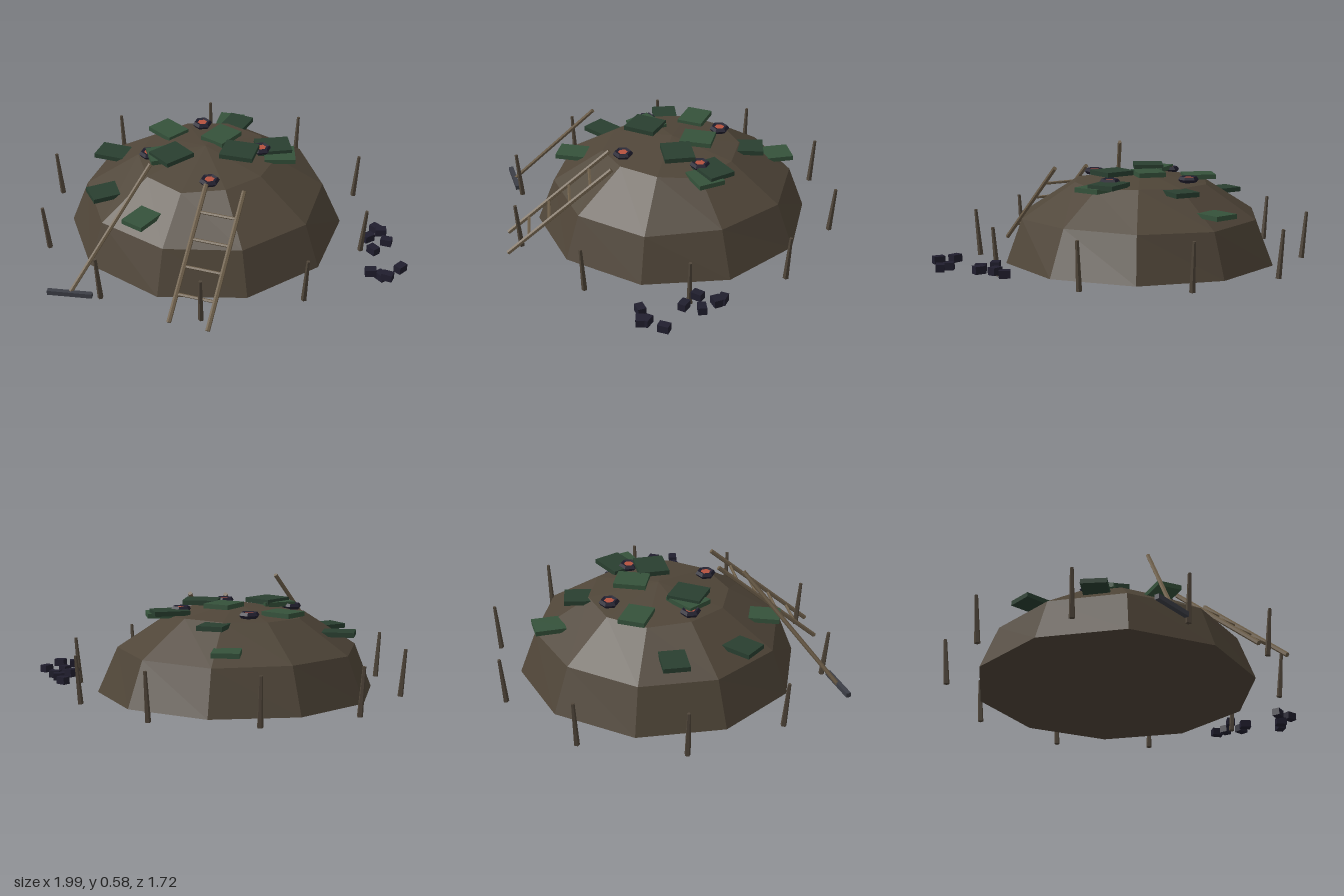
import * as THREE from 'three';

const CX = -0.12, CZ = -0.025, R = 0.715, H = 0.46, BASE = 0.015;

const mat = (color) => new THREE.MeshStandardMaterial({ color, flatShading: true });
const earth = mat(0x4f4538), turfLight = mat(0x35523b), turfDark = mat(0x293f30);
const wood = mat(0x6e5f4a), bark = mat(0x50463a), iron = mat(0x3c3e46);
const coal = mat(0x201e2e), ember = mat(0xb5523f);

function add(parent, name, geometry, material, x = 0, y = 0, z = 0, ry = 0) {
  const mesh = new THREE.Mesh(geometry, material);
  mesh.name = name;
  mesh.position.set(x, y, z);
  mesh.rotation.y = ry;
  parent.add(mesh);
  return mesh;
}

function group(parent, name) {
  const g = new THREE.Group();
  g.name = name;
  parent.add(g);
  return g;
}

// Round pole between two points
function pole(parent, name, a, b, r0, r1, material, sides = 6) {
  const from = new THREE.Vector3(...a), to = new THREE.Vector3(...b);
  const dir = to.clone().sub(from);
  const mesh = add(parent, name, new THREE.CylinderGeometry(r1, r0, dir.length(), sides), material);
  mesh.position.copy(from).add(to).multiplyScalar(0.5);
  mesh.quaternion.setFromUnitVectors(new THREE.Vector3(0, 1, 0), dir.normalize());
  return mesh;
}

// Height of the mound's surface above the ground
function surface(x, z) {
  const d = Math.hypot(x - CX, z - CZ) / R;
  return BASE + H * Math.sqrt(Math.max(0, 1 - d * d));
}

export function createModel() {
  const model = new THREE.Group();
  model.name = 'charcoalMound';

  // Low dome of earth, slightly uneven above its base ring
  const dome = new THREE.SphereGeometry(R, 10, 3, 0, Math.PI * 2, 0, Math.PI / 2);
  dome.rotateY(Math.PI / 2);
  dome.scale(1, H / R, 1);
  const p = dome.attributes.position;
  for (let i = 0; i < p.count; i++) {
    const x = p.getX(i), y = p.getY(i), z = p.getZ(i);
    if (y < 0.01 || y > H - 0.01) continue;
    const k = 1 + 0.02 * Math.sin(x * 17 + z * 11 + y * 9);
    p.setXYZ(i, x * k, y * (2 - k), z * k);
  }
  add(model, 'mound', dome, earth, CX, BASE, CZ);
  const floor = new THREE.CircleGeometry(R, 10);
  floor.rotateX(Math.PI / 2);
  floor.rotateY(Math.PI / 2);
  add(model, 'moundFloor', floor, earth, CX, BASE, CZ);

  // Turf slabs: x, z, width, depth, turn, dark, lift
  const turf = group(model, 'turfSlabs');
  [
    [-0.18, -0.59, 0.135, 0.155, 0.1, 0, 0.01],
    [-0.085, -0.43, 0.13, 0.14, -0.12, 1, 0.008],
    [-0.385, -0.175, 0.165, 0.135, -0.48, 0, 0.008],
    [-0.645, -0.035, 0.175, 0.13, 0, 1, 0],
    [-0.545, 0.32, 0.16, 0.13, 0.75, 1, 0],
    [-0.27, 0.49, 0.125, 0.165, -0.3, 0, 0],
    [-0.3, 0.095, 0.17, 0.14, 0.6, 0, 0.002],
    [-0.26, 0.105, 0.155, 0.17, -0.55, 1, 0.012],
    [-0.08, -0.155, 0.14, 0.165, -0.33, 0, 0.005],
    [0.06, -0.035, 0.175, 0.155, 0.06, 1, 0.012],
    [0.19, -0.2, 0.18, 0.14, 0.47, 1, 0.02],
    [0.24, -0.155, 0.16, 0.14, 0.35, 0, 0.012],
  ].forEach(([x, z, w, d, ry, dark, lift]) =>
    add(turf, 'turfSlab', new THREE.BoxGeometry(w, 0.024, d), dark ? turfDark : turfLight,
      x, surface(x, z) + lift, z, ry));

  // Smoke vents: six-sided rims with glowing centres
  const vents = group(model, 'smokeVents');
  const rim = new THREE.TorusGeometry(0.037, 0.016, 5, 6);
  rim.rotateX(Math.PI / 2);
  rim.rotateY(Math.PI / 6);
  for (const [x, z] of [[-0.235, -0.29], [0.145, -0.14], [-0.39, 0.09], [-0.005, 0.24]]) {
    const y = surface(x, z) + 0.008;
    add(vents, 'ventRim', rim, coal, x, y, z);
    add(vents, 'ventEmber', new THREE.CylinderGeometry(0.029, 0.029, 0.02, 6), ember, x, y, z);
  }

  // Ring of stakes leaning outward
  const stakes = group(model, 'stakes');
  for (let i = 0; i < 10; i++) {
    const a = (i * Math.PI) / 5, c = Math.cos(a), s = Math.sin(a);
    const at = (r, y) => [CX + c * r, y, CZ + s * r];
    pole(stakes, 'stake', at(0.846, 0.012), at(0.868, 0.255), 0.015, 0.009, bark, 5);
  }

  // Ladder leaning on the front
  const ladder = group(model, 'ladder');
  for (const x of [0.003, 0.2])
    pole(ladder, 'ladderRail', [x, 0.01, 0.85], [x, 0.465, 0.31], 0.012, 0.012, wood);
  for (let i = 0; i < 4; i++) {
    const y = 0.1 + i * 0.09, z = 0.738 - i * 0.107;
    pole(ladder, 'ladderRung', [0.003, y, z], [0.2, y, z], 0.008, 0.008, wood, 5);
  }

  // Rake propped against the mound
  const rake = group(model, 'rake');
  pole(rake, 'rakeHandle', [-0.525, 0.035, 0.82], [-0.26, 0.57, 0.38], 0.011, 0.011, wood);
  add(rake, 'rakeHead', new THREE.BoxGeometry(0.225, 0.024, 0.024), iron, -0.525, 0.034, 0.825, 0.19);

  // Scattered charcoal: x, y, z, turn
  const pile = group(model, 'charcoalPieces');
  [
    [0.77, 0.055, -0.18, -0.5], [0.803, 0.068, -0.145, 0.3], [0.755, 0.075, -0.06, 0.9],
    [0.85, 0.065, -0.07, 0], [0.8, 0.055, 0.01, -0.6], [0.965, 0.055, 0.12, 1.1],
    [0.835, 0.07, 0.22, 0.3], [0.885, 0.04, 0.195, -0.6], [0.922, 0.07, 0.228, -0.1],
  ].forEach(([x, y, z, ry]) =>
    add(pile, 'charcoalPiece', new THREE.BoxGeometry(0.056, 0.038, 0.042), coal, x, y, z, ry));

  return model;
}
